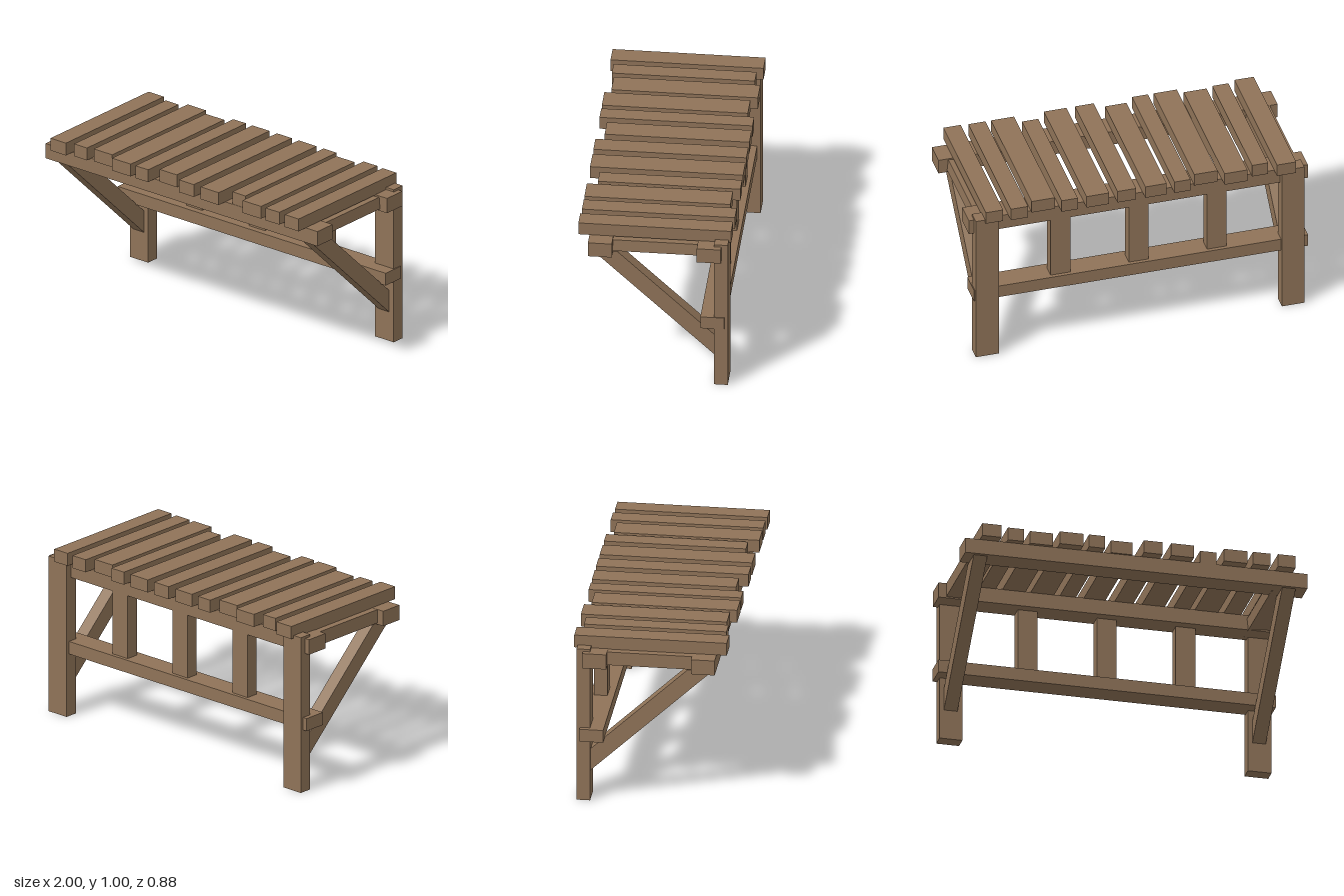
import * as THREE from 'three';

export function createModel() {
  const model = new THREE.Group();
  model.name = 'slattedBench';
  const wood = new THREE.MeshStandardMaterial({ color: 0x8f7358 });
  wood.name = 'brown wood';

  // Board given by its limits along each axis
  function board(name, [x0, x1], [y0, y1], [z0, z1]) {
    const mesh = new THREE.Mesh(new THREE.BoxGeometry(x1 - x0, y1 - y0, z1 - z0), wood);
    mesh.position.set((x0 + x1) / 2, (y0 + y1) / 2, (z0 + z1) / 2);
    mesh.name = name;
    model.add(mesh);
    return mesh;
  }

  // Back posts
  board('rightPost', [-0.97, -0.837], [0, 0.94], [-0.42, -0.342]);
  board('leftPost', [0.832, 0.97], [0, 0.94], [-0.42, -0.342]);

  // Long rails
  board('frontRail', [-1, 1], [0.835, 0.925], [0.238, 0.374]);
  board('backRail', [-1, 1], [0.835, 0.926], [-0.383, -0.246]);
  board('lowerRail', [-0.997, 0.975], [0.376, 0.452], [-0.4, -0.264]);

  // Uprights between the back rails
  for (const x of [-0.465, -0.003, 0.458]) {
    board('upright', [x - 0.058, x + 0.058], [0.44, 0.85], [-0.378, -0.302]);
  }

  // Side rails, the left one slightly twisted
  board('rightSideRail', [-0.955, -0.815], [0.843, 0.924], [-0.34, 0.3]);
  const leftSide = board('leftSideRail', [0.806, 0.946], [0.841, 0.911], [-0.342, 0.297]);
  leftSide.rotation.z = 0.1;

  // Diagonal braces from the posts to the front rail
  const profile = new THREE.Shape([
    new THREE.Vector2(-0.342, 0.178),
    new THREE.Vector2(0.355, 0.836),
    new THREE.Vector2(0.213, 0.836),
    new THREE.Vector2(-0.342, 0.311),
  ]);
  for (const [name, x0, x1] of [['rightBrace', -0.945, -0.866], ['leftBrace', 0.858, 0.936]]) {
    const geometry = new THREE.ExtrudeGeometry(profile, { depth: x1 - x0, bevelEnabled: false });
    geometry.rotateY(-Math.PI / 2); // profile x becomes z, depth runs towards -x
    const brace = new THREE.Mesh(geometry, wood);
    brace.position.x = x1;
    brace.name = name;
    model.add(brace);
  }

  // Seat slats: x limits, then back and front ends
  const slats = [
    [-0.915, -0.802, -0.44, 0.432], [-0.76, -0.665, -0.405, 0.41],
    [-0.627, -0.492, -0.44, 0.395], [-0.462, -0.325, -0.4, 0.432],
    [-0.291, -0.197, -0.44, 0.432], [-0.151, -0.025, -0.44, 0.385],
    [0.029, 0.139, -0.44, 0.432], [0.189, 0.322, -0.44, 0.432],
    [0.373, 0.469, -0.44, 0.372], [0.498, 0.634, -0.4, 0.432],
    [0.667, 0.768, -0.44, 0.432], [0.812, 0.914, -0.434, 0.437],
  ];
  for (const [x0, x1, z0, z1] of slats) board('slat', [x0, x1], [0.924, 1], [z0, z1]);

  return model;
}
